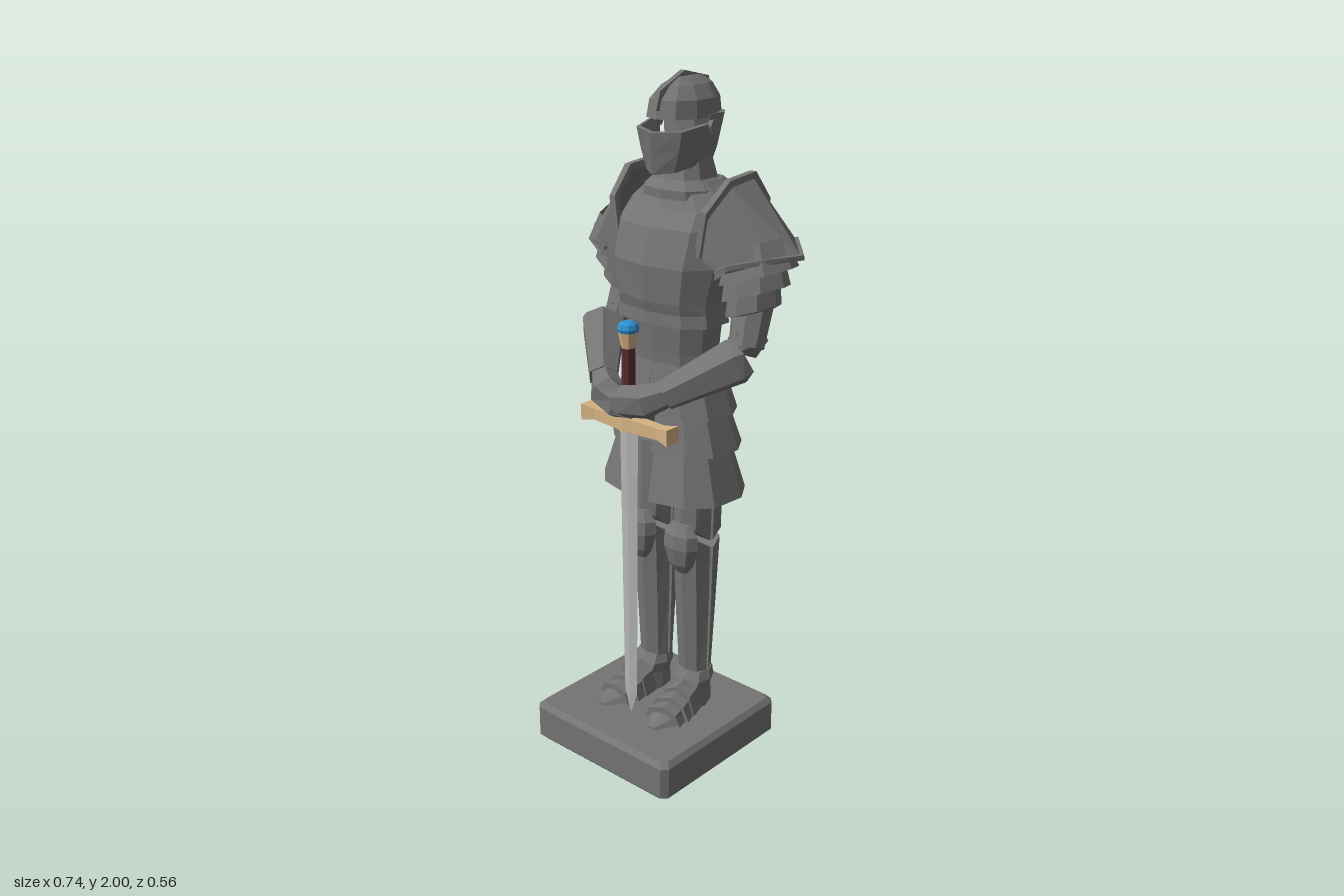
import * as THREE from 'three';

const V = (x, y, z) => new THREE.Vector3(x, y, z);
const mat = (color, side = THREE.FrontSide) => new THREE.MeshStandardMaterial({ color, side, flatShading: true });
const steel = mat(0x747474), sheet = mat(0x747474, THREE.DoubleSide), bladeSteel = mat(0xb4b4b4);
const brass = mat(0xd6b484), leather = mat(0x5a2c30), gem = mat(0x2f8fd0);

// Skin a list of equal-length rings; solids are capped and turned to face outwards.
function loft(rings, solid = true) {
  const tris = [], n = rings[0].length, span = solid ? n : n - 1;
  for (let r = 0; r < rings.length - 1; r++) {
    for (let i = 0; i < span; i++) {
      const j = (i + 1) % n, A = rings[r], B = rings[r + 1];
      tris.push([A[i], B[i], B[j]], [A[i], B[j], A[j]]);
    }
  }
  if (solid) {
    const cap = (ring, flip) => {
      const c = ring.reduce((s, p) => s.add(p), V(0, 0, 0)).divideScalar(n);
      ring.forEach((p, i) => {
        const q = ring[(i + 1) % n];
        tris.push(flip ? [c, q, p] : [c, p, q]);
      });
    };
    cap(rings[0], false);
    cap(rings[rings.length - 1], true);
    const o = rings[0][0];
    const volume = tris.reduce((s, [a, b, c]) =>
      s + a.clone().sub(o).dot(b.clone().sub(o).cross(c.clone().sub(o))), 0);
    if (volume < 0) tris.forEach(t => t.reverse());
  }
  const g = new THREE.BufferGeometry().setFromPoints(tris.flat());
  g.computeVertexNormals();
  return g;
}

// Horizontal body section: height, half width, front z, back z.
function section([y, w, zf, zb], n = 10, pow = 0.8, gap = 0) {
  const f = c => Math.sign(c) * Math.abs(c) ** pow, pts = [];
  for (let i = 0; i < (gap ? n + 1 : n); i++) {
    const a = Math.PI / 2 + gap + i * (2 * Math.PI - 2 * gap) / n;
    pts.push(V(w * f(Math.cos(a)), y, (zf + zb) / 2 + (zf - zb) / 2 * f(Math.sin(a))));
  }
  return pts;
}
const body = (rows, n, pow) => loft(rows.map(r => section(r, n, pow)));

// Half-round section; depth d points forwards or backwards, rise lifts the middle.
const half = (x, y, w, zc, d, rise = 0) => [0, 1, 2, 3, 4].map(i => {
  const a = i * Math.PI / 4;
  return V(x + w * Math.cos(a), y + rise * Math.sin(a), zc + d * Math.sin(a));
});

// Faceted tube along a path with one radius per point.
function tube(path, radii, sides = 6, ref = V(0, 1, 0)) {
  return loft(path.map((p, k) => {
    const t = path[Math.min(k + 1, path.length - 1)].clone().sub(path[Math.max(k - 1, 0)]).normalize();
    const u = t.clone().cross(ref).normalize(), v = u.clone().cross(t);
    return Array.from({ length: sides }, (_, i) => {
      const a = (i + 0.5) * 2 * Math.PI / sides, r = radii[k] ?? radii[0];
      return p.clone().addScaledVector(u, r * Math.cos(a)).addScaledVector(v, r * Math.sin(a));
    });
  }));
}

export function createModel() {
  const model = new THREE.Group();
  const add = (name, geometry, material = steel, parent = model) => {
    const m = new THREE.Mesh(geometry, material);
    m.name = name;
    parent.add(m);
    return m;
  };

  // Plinth with chamfered edges
  const plate = (y, inset) => {
    const X = 0.265 - inset, Z = 0.257 - inset, c = 0.018;
    return [[X, Z - c], [X - c, Z], [c - X, Z], [-X, Z - c], [-X, c - Z], [c - X, -Z], [X - c, -Z], [X, c - Z]]
      .map(([x, z]) => V(x, y, z + 0.02));
  };
  add('plinth', loft([plate(0, 0.014), plate(0.015, 0), plate(0.11, 0), plate(0.125, 0.014)]));

  // Torso
  add('waist', body([[1.17, 0.14, 0.03, -0.155], [1.25, 0.138, 0.035, -0.155], [1.35, 0.15, 0.045, -0.16]]));
  add('breastplate', body([[1.335, 0.172, 0.06, -0.165], [1.37, 0.165, 0.058, -0.168], [1.4, 0.165, 0.066, -0.178],
    [1.5, 0.185, 0.072, -0.22], [1.6, 0.19, 0.045, -0.262], [1.645, 0.178, 0.01, -0.278], [1.715, 0.095, -0.03, -0.2]], 10, 0.75));
  add('collar', body([[1.67, 0.115, 0, -0.215], [1.695, 0.115, 0, -0.21], [1.72, 0.085, -0.02, -0.185], [1.78, 0.068, -0.04, -0.17]]));

  // Layered skirt, the lower tiers split at the front
  [[[1.22, 0.14, 0.035, -0.16], [1.07, 0.19, 0.06, -0.197], 0.001],
    [[1.1, 0.16, 0.04, -0.17], [0.965, 0.205, 0.07, -0.21], 0.08],
    [[0.99, 0.172, 0.055, -0.175], [0.825, 0.225, 0.1, -0.216], 0.12]].forEach(([top, bottom, gap]) => {
    const inner = bottom.map((v, i) => i ? v * 0.93 : v + 0.004);
    add('skirtTier', loft([top, bottom, inner].map(r => section(r, 11, 0.8, gap)), false), sheet);
  });

  // Helmet: back of head, skull cap, crest and visor
  add('helmetBack', body([[1.755, 0.062, -0.06, -0.175], [1.8, 0.075, -0.065, -0.187], [1.89, 0.086, -0.065, -0.212]]));
  add('helmetBowl', body([[1.882, 0.083, 0.018, -0.213], [1.93, 0.077, 0.008, -0.208],
    [1.965, 0.05, -0.025, -0.19], [1.985, 0.018, -0.06, -0.165]], 10, 0.9));
  const crest = new THREE.Shape([[0.025, 1.905], [0.008, 1.955], [-0.09, 2], [-0.188, 1.978], [-0.217, 1.89], [-0.2, 1.83], [-0.1, 1.9]]
    .map(([z, y]) => new THREE.Vector2(-z, y)));
  add('helmetCrest', new THREE.ExtrudeGeometry(crest, { depth: 0.016, bevelEnabled: false })
    .rotateY(Math.PI / 2).translate(-0.008, 0, 0));
  const mirrorRow = pts => [...pts, ...pts.slice(0, -1).reverse().map(([x, y, z]) => [-x, y, z])].map(p => V(...p));
  add('visor', loft([
    [[0.088, 1.872, -0.11], [0.085, 1.868, -0.06], [0.07, 1.857, 0], [0, 1.852, 0.028]],
    [[0.1, 1.87, -0.11], [0.097, 1.866, -0.06], [0.08, 1.855, 0.005], [0, 1.85, 0.042]],
    [[0.088, 1.81, -0.1], [0.085, 1.805, -0.055], [0.068, 1.8, 0.002], [0, 1.795, 0.037]],
    [[0.068, 1.765, -0.085], [0.066, 1.755, -0.05], [0.05, 1.745, 0], [0, 1.738, 0.032]],
    [[0.06, 1.755, -0.08], [0.05, 1.745, -0.06], [0.03, 1.74, -0.05], [0, 1.735, -0.04]]].map(mirrorRow), false), sheet);

  for (const s of [1, -1]) {
    const P = (x, y, z) => V(s * x, y, z);
    add('visorHinge', new THREE.CylinderGeometry(0.017, 0.02, 0.016, 6).rotateZ(Math.PI / 2).translate(s * 0.1, 1.862, -0.1));

    // Shoulder plate with raised neck flange and rolled lower rim
    const inner = [[0.145, 1.53, 0.008], [0.165, 1.65, 0.005], [0.18, 1.72, -0.07], [0.18, 1.73, -0.17],
      [0.165, 1.65, -0.25], [0.15, 1.53, -0.235]].map(p => P(...p));
    const outer = [[0.2, 1.505, 0.005], [0.24, 1.52, 0.005], [0.31, 1.535, -0.07], [0.363, 1.54, -0.155],
      [0.28, 1.56, -0.24], [0.2, 1.5, -0.23]].map(p => P(...p));
    const lip = outer.map((p, i) => inner[i].clone().lerp(p, 0.9).add(V(0, -0.03, 0)));
    add('shoulderPlate', loft([inner, outer, lip], false), sheet);
    add('shoulderFlange', tube(inner.map(p => p.clone().add(V(0, 0.004, 0))), [0.014], 4, V(1, 0, 0)));
    add('shoulderRim', tube(outer, [0.01], 4));

    // Overlapping upper-arm lames
    [[1.56, 1.475, 0.085, 0.108], [1.5, 1.425, 0.08, 0.094], [1.45, 1.375, 0.07, 0.077]].forEach(([y0, y1, r0, r1], k) => {
      const ring = (y, r, x) => Array.from({ length: 9 }, (_, i) => {
        const a = i * Math.PI / 4;
        return P(x + r * Math.cos(a), y + 0.35 * r * Math.cos(a), -0.125 + r * Math.sin(a));
      });
      add('armLame', loft([ring(y0, r0, 0.23), ring(y1, r1, 0.245 - 0.008 * k), ring(y1, r1 - 0.015, 0.24)], false), sheet);
    });

    // Arm, elbow and flared gauntlet
    add('upperArm', tube([P(0.235, 1.52, -0.13), P(0.225, 1.38, -0.125), P(0.235, 1.28, -0.09)], [0.07, 0.058, 0.05], 8, V(1, 0, 0)));
    add('elbow', new THREE.IcosahedronGeometry(0.056, 0).translate(s * 0.232, 1.3, -0.1));
    add('gauntletCuff', tube([P(0.257, 1.268, -0.045), P(0.248, 1.258, -0.03), P(0.115, 1.165, 0.11)], [0.06, 0.068, 0.044]));
    const lift = s > 0 ? 0.012 : -0.012;
    add('hand', tube([[0.12, 1.17, 0.105], [0.07, 1.145, 0.145], [0.02, 1.13 + lift, 0.158 + lift],
      [-0.025, 1.115 + lift, 0.145 + lift]].map(p => P(...p)), [0.038, 0.05, 0.046, 0.026]));

    // Legs in front and rear half plates with a slit between them
    const x = s * 0.078;
    add('thighFront', loft([half(x, 0.95, 0.065, -0.07, 0.06), half(x, 0.675, 0.06, -0.066, 0.066, 0.055)]));
    add('thighRear', loft([half(x, 0.95, 0.065, -0.078, -0.08), half(x, 0.675, 0.06, -0.076, -0.083, 0.02)]));
    add('shinFront', loft([half(x, 0.655, 0.062, -0.063, 0.063, 0.045), half(x, 0.45, 0.058, -0.064, 0.05), half(x, 0.2, 0.05, -0.066, 0.036)]));
    add('shinRear', loft([half(x, 0.65, 0.062, -0.076, -0.074, 0.02), half(x, 0.45, 0.058, -0.075, -0.057), half(x, 0.2, 0.05, -0.074, -0.04)]));
    add('kneeCap', loft([[0.58, 0.022, 0.012], [0.61, 0.045, 0.03], [0.665, 0.062, 0.042], [0.705, 0.06, 0.038], [0.735, 0.035, 0.02]]
      .map(([y, w, d]) => half(s * 0.081, y, w, -0.004, d))));

    // Foot of overlapping plates, turned slightly outwards
    const foot = new THREE.Group();
    foot.name = 'foot';
    foot.position.set(s * 0.088, 0, 0);
    foot.rotation.y = s * 0.1;
    model.add(foot);
    add('heel', body([[0.125, 0.055, 0.02, -0.112], [0.18, 0.052, 0, -0.108], [0.21, 0.06, -0.012, -0.115], [0.238, 0.052, -0.028, -0.115]], 8), steel, foot);
    [[-0.04, 0.025, 0.1, 0.082, 0.05, 0.064], [0.01, 0.062, 0.07, 0.062, 0.055, 0.07],
      [0.045, 0.1, 0.05, 0.047, 0.055, 0.066], [0.08, 0.155, 0.036, 0.01, 0.062, 0.014]].forEach(([z0, z1, h0, h1, w0, w1]) => {
      const arch = (z, h, w) => half(0, 0, w, 0, h).map(p => V(p.x, 0.123 + p.z, z));
      add('footPlate', loft([arch(z0, h0, w0), arch(z1, h1, w1)]), steel, foot);
    });
  }

  // Sword, point down
  const sword = new THREE.Group();
  sword.name = 'sword';
  sword.position.z = 0.13;
  model.add(sword);
  const diamond = (y, w, d) => [V(w, y, 0), V(0, y, d), V(-w, y, 0), V(0, y, -d)];
  add('blade', loft([diamond(1.06, 0.034, 0.009), diamond(0.2, 0.024, 0.006), diamond(0.127, 0.001, 0.001)]), bladeSteel, sword);
  const bar = (x, h, d) => [[h, d], [-h, d], [-h, -d], [h, -d]].map(([y, z]) => V(x, 1.063 + y, z));
  add('crossguard', loft([bar(-0.162, 0.024, 0.025), bar(-0.12, 0.017, 0.016), bar(-0.03, 0.019, 0.02), bar(0, 0.023, 0.024),
    bar(0.03, 0.019, 0.02), bar(0.12, 0.017, 0.016), bar(0.162, 0.024, 0.025)]), brass, sword);
  add('grip', new THREE.CylinderGeometry(0.019, 0.019, 0.21, 8).translate(0, 1.18, 0), leather, sword);
  add('pommelNeck', new THREE.CylinderGeometry(0.028, 0.018, 0.05, 8).translate(0, 1.302, 0), brass, sword);
  add('pommelGem', new THREE.LatheGeometry([[0, 1.322], [0.026, 1.322], [0.031, 1.337], [0.026, 1.35], [0.014, 1.357], [0, 1.357]]
    .map(p => new THREE.Vector2(...p)), 8), gem, sword);

  return model;
}
